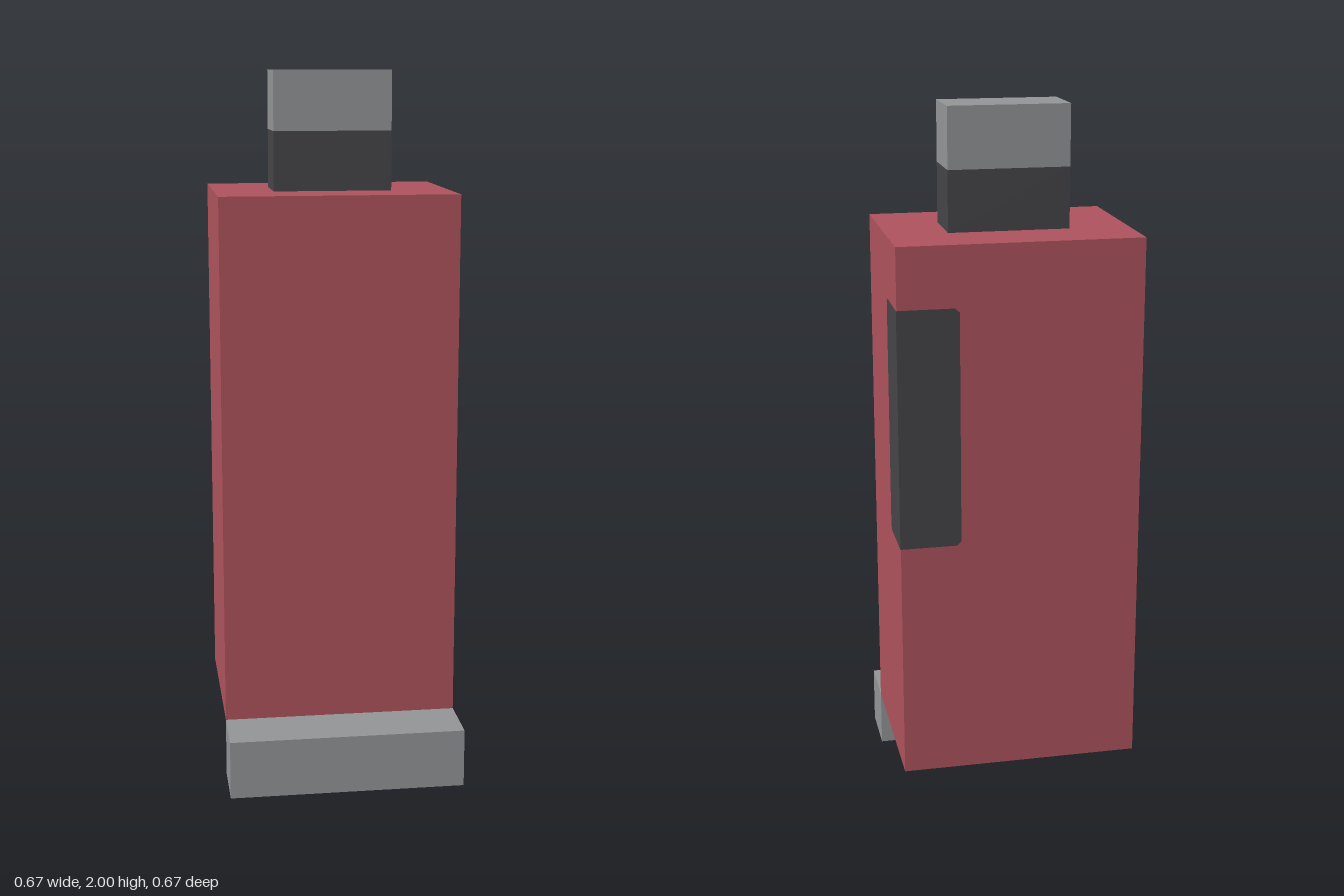
import * as THREE from 'three';

const U = 1 / 6; // modelling unit

export function createModel() {
  const group = new THREE.Group();
  const material = (name, color) => new THREE.MeshStandardMaterial({ name, color });
  const red = material('red', 0xad525c);
  const grey = material('grey', 0x939496);
  const dark = material('charcoal', 0x454447);

  // Box from its minimum corner and size, in units
  const box = (name, mat, [x, y, z], [w, h, d]) => {
    const mesh = new THREE.Mesh(new THREE.BoxGeometry(w * U, h * U, d * U), mat);
    mesh.position.set((x + w / 2) * U, (y + h / 2) * U, (z + d / 2) * U);
    mesh.name = name;
    group.add(mesh);
  };
  box('foot', grey, [-2, 0, 1], [4, 1, 1]);
  box('body', red, [-2, 1, -2], [4, 9, 3]);
  box('neck', dark, [-1, 10, -1], [2, 1, 1]);
  box('cap', grey, [-1, 11, -1], [2, 1, 1]);

  // Dark panel folded around the rear corner on the +x side
  const lift = 0.0015;
  const edge = 2 * U + lift, inner = 0.167, low = 0.84, high = 1.5, cut = 0.012;
  const panel = (name, side) => {
    const outline = [
      [edge, low], [inner + cut, low], [inner, low + cut],
      [inner, high - cut], [inner + cut, high], [edge, high],
    ].map(([x, y]) => new THREE.Vector2(x * side, y));
    const mesh = new THREE.Mesh(new THREE.ShapeGeometry(new THREE.Shape(outline)), dark);
    mesh.name = name;
    group.add(mesh);
    return mesh;
  };
  const sidePanel = panel('sidePanel', 1);
  sidePanel.rotation.y = Math.PI / 2;
  sidePanel.position.x = edge;
  const backPanel = panel('backPanel', -1);
  backPanel.rotation.y = Math.PI;
  backPanel.position.z = -edge;

  return group;
}
